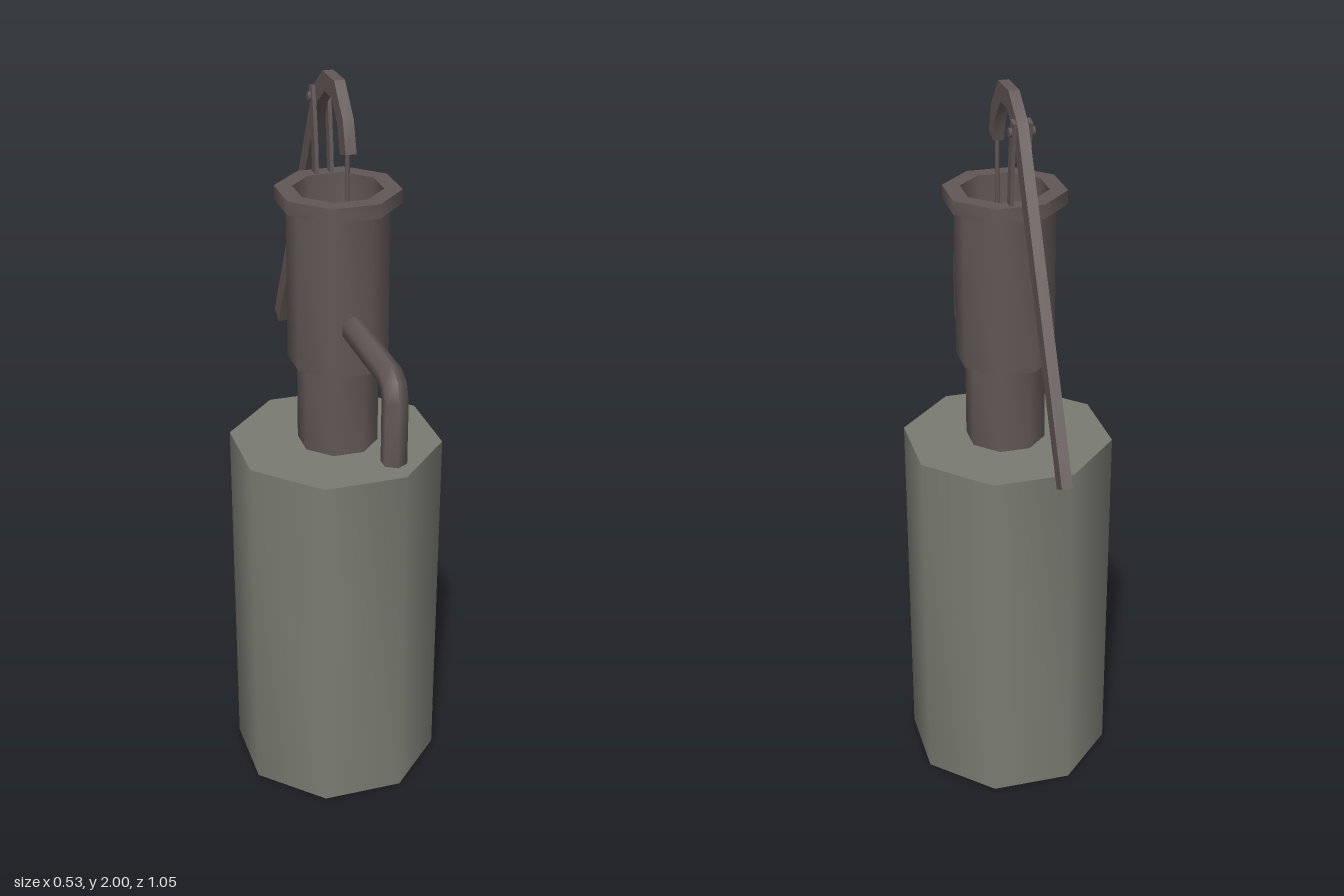
import * as THREE from 'three';
import { toCreasedNormals } from 'three/addons/utils/BufferGeometryUtils.js';

const stone = new THREE.MeshStandardMaterial({ color: 0x7a7c72, side: THREE.DoubleSide });
stone.name = 'weathered stone';
const iron = new THREE.MeshStandardMaterial({ color: 0x615756, side: THREE.DoubleSide });
iron.name = 'old iron';

function add(group, name, geometry, material, x = 0, y = 0, z = 0) {
  const mesh = new THREE.Mesh(geometry, material);
  mesh.name = name;
  mesh.position.set(x, y, z);
  group.add(mesh);
  return mesh;
}

// Eight-sided turned shape with flats facing the axes; profile is [flat radius, y]
function octagon(profile) {
  const k = 1 / Math.cos(Math.PI / 8);
  const points = profile.map(([r, y]) => new THREE.Vector2(r * k, y));
  const lathe = new THREE.LatheGeometry(points, 8, Math.PI / 8);
  lathe.deleteAttribute('normal');
  return toCreasedNormals(lathe, 0.9);
}

// Sweep a section of [x, offset] points along a [z, y] path with mitred bends
function sweep(path, section, crease) {
  const pts = path.map(([z, y]) => new THREE.Vector2(z, y));
  const n = section.length, pos = [], idx = [];
  pts.forEach((p, i) => {
    const a = p.clone().sub(pts[Math.max(i - 1, 0)]).normalize();
    const b = pts[Math.min(i + 1, pts.length - 1)].clone().sub(p).normalize();
    const dir = a.clone().add(b).normalize();
    const miter = 1 / Math.max(dir.dot(i ? a : b), 0.5);
    for (const [x, o] of section) pos.push(x, p.y + dir.x * o * miter, p.x - dir.y * o * miter);
  });
  for (let i = 0; i < pts.length - 1; i++) {
    for (let j = 0; j < n; j++) {
      const a = i * n + j, b = i * n + (j + 1) % n;
      idx.push(a, b, b + n, a, b + n, a + n);
    }
  }
  const last = (pts.length - 1) * n;
  for (let j = 1; j < n - 1; j++) {
    idx.push(0, j + 1, j, last, last + j, last + j + 1);
  }
  const g = new THREE.BufferGeometry();
  g.setAttribute('position', new THREE.Float32BufferAttribute(pos, 3));
  g.setIndex(idx);
  return toCreasedNormals(g, crease);
}

export function createModel() {
  const pump = new THREE.Group();
  pump.name = 'handPump';

  // Plinth, open underneath
  add(pump, 'plinth', octagon([[0.267, 0], [0.267, 1.015], [0, 1.015]]), stone, 0, 0, 0.043);

  // Hollow body: neck, barrel and rim, then down the inner wall to the floor
  add(pump, 'body', octagon([
    [0.1, 1.015], [0.1, 1.255], [0.123, 1.255], [0.123, 1.688],
    [0.15, 1.688], [0.15, 1.725], [0.107, 1.725], [0.107, 1.27],
    [0.092, 1.255], [0.092, 1.02], [0, 1.02],
  ]), iron, 0.005, 0, 0.046);

  // Spout
  const hex = Array.from({ length: 6 }, (_, i) => {
    const a = Math.PI / 2 + i * Math.PI / 3;
    return [0.033 * Math.cos(a), 0.033 * Math.sin(a)];
  });
  add(pump, 'spout', sweep([
    [0.16, 1.39], [0.452, 1.39], [0.482, 1.375], [0.494, 1.34], [0.494, 1.175],
  ], hex, 1.2), iron, 0.007);

  // Lever: hooked arch running into a long straight handle
  const w = 0.014, t = 0.024;
  add(pump, 'lever', sweep([
    [0.13, 1.836], [0.108, 1.91], [0.048, 1.976], [-0.03, 1.976], [-0.1, 1.925], [-0.505, 1.146],
  ], [[w, t], [-w, t], [-w, -t], [w, -t]], 0.6), iron, 0.004);

  // Piston rod hanging from the hook
  add(pump, 'pistonRod', new THREE.CylinderGeometry(0.006, 0.006, 0.83, 6), iron, 0.004, 1.435, 0.124);

  // Bracket plates either side of the lever
  for (const side of [-1, 1]) {
    add(pump, 'bracketPlate', sweep([
      [-0.079, 1.72], [-0.085, 1.8], [-0.096, 1.88], [-0.11, 1.945],
    ], [[0.005, 0.014], [-0.005, 0.014], [-0.005, -0.014], [0.005, -0.014]], 0.6),
    iron, 0.004 + side * 0.02);
  }

  // Pivot bolt
  const bolt = add(pump, 'pivotBolt', new THREE.CylinderGeometry(0.012, 0.012, 0.066, 6), iron, 0.004, 1.918, -0.106);
  bolt.rotation.z = Math.PI / 2;

  return pump;
}
